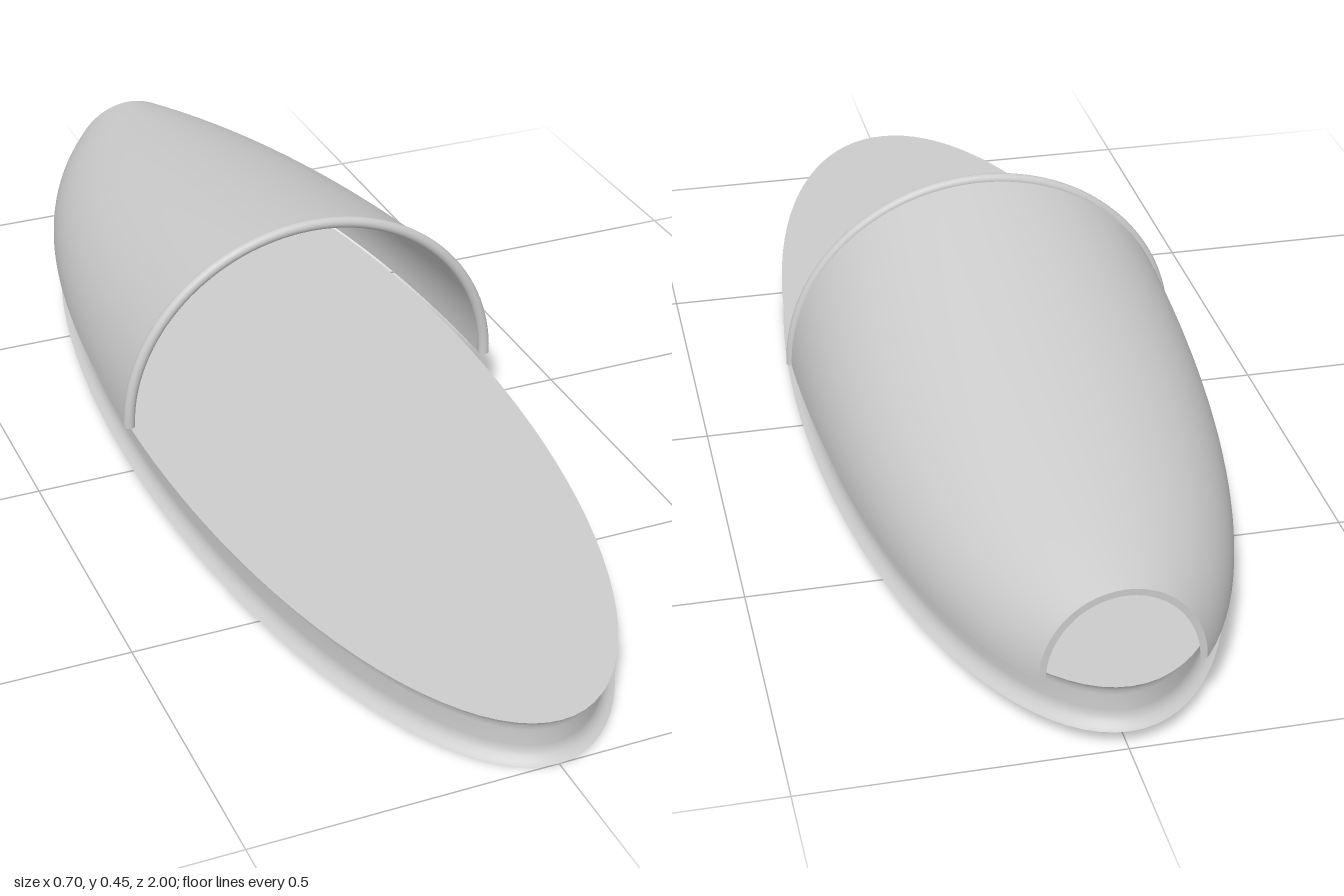
import * as THREE from 'three';
import { mergeGeometries, mergeVertices } from 'three/addons/utils/BufferGeometryUtils.js';

// Smooth surface patch from f(u, v) -> [x, y, z], u and v in 0..1
function patch(f, nu, nv) {
  const pos = [], idx = [];
  for (let j = 0; j <= nv; j++)
    for (let i = 0; i <= nu; i++) pos.push(...f(i / nu, j / nv));
  for (let j = 0; j < nv; j++)
    for (let i = 0; i < nu; i++) {
      const a = j * (nu + 1) + i, b = a + 1, c = a + nu + 1, d = c + 1;
      idx.push(a, b, c, b, d, c);
    }
  let g = new THREE.BufferGeometry();
  g.setAttribute('position', new THREE.Float32BufferAttribute(pos, 3));
  g.setIndex(idx);
  g = mergeVertices(g, 1e-5);
  g.computeVertexNormals();
  return g;
}

const lerp = THREE.MathUtils.lerp;

// Sole: long ellipse with a hollowed side wall, rising gently to the back
const SOLE_W = 0.333, SOLE_L = 1, SOLE_H = 0.041;
function soleGeometry() {
  const point = (u, scale, inset, h) => {
    const a = u * Math.PI * 2, c = Math.cos(a), s = Math.sin(a);
    const n = Math.hypot(SOLE_L * c, SOLE_W * s);
    const x = scale * SOLE_W * c - inset * SOLE_L * c / n;
    const z = scale * SOLE_L * s - inset * SOLE_W * s / n;
    return [x, 0.057 - 0.016 * z + h, z];
  };
  // Wall profile: [inset, height], top to bottom
  const half = [[0, 0.041], [0.007, 0.037], [0.013, 0.031], [0.017, 0.023], [0.018, 0.014]];
  const wall = [...half, ...half.map(([i, h]) => [i, -h]).reverse()];
  const n = wall.length - 1;
  return mergeGeometries([
    patch((u, v) => point(u, v, 0, SOLE_H), 96, 1),
    patch((u, v) => point(u, 1, ...wall[Math.round(v * n)]), 96, n),
    patch((u, v) => point(u, 1 - v, 0, -SOLE_H), 96, 1),
  ]);
}

// Upper: thin arched shell, narrowing toward the open back end
const BASE = 0.113, FRONT = 0.03, BACK = -0.957, THICK = 0.011;
function upperGeometry() {
  const point = (u, t, inset) => { // t: 0 back, 1 front
    const a = u * Math.PI, z = lerp(BACK, FRONT, t);
    const w = 0.342 * Math.sqrt(1 - ((z - FRONT) / 1.064) ** 2) - inset;
    const h = lerp(0.141, 0.326, t) - inset;
    return [w * Math.cos(a), BASE + h * Math.sin(a), z];
  };
  return mergeGeometries([
    patch((u, v) => point(u, v, 0), 64, 32),
    patch((u, v) => point(u, 1 - v, THICK), 64, 32),
    patch((u, v) => point(u, 0, THICK * (1 - v)), 64, 1),
    patch((u, v) => point(u, 1, THICK * v), 64, 1),
    patch((u, v) => point(0, v, THICK * (1 - u)), 1, 32),
    patch((u, v) => point(1, v, THICK * u), 1, 32),
  ]);
}

// Rounded lip along the front arch
const LIP_R = 0.01, LIP_X = 0.34, LIP_Y = 0.325;
function lipGeometry() {
  return patch((u, v) => {
    const a = u * Math.PI, b = v * Math.PI * 2, r = LIP_R * Math.cos(b);
    return [(LIP_X + r) * Math.cos(a), BASE + (LIP_Y + r) * Math.sin(a), FRONT + LIP_R * Math.sin(b)];
  }, 64, 16);
}

export function createModel() {
  const group = new THREE.Group();
  group.name = 'slipper';
  const grey = new THREE.MeshStandardMaterial({ color: 0xcccccc });
  grey.name = 'light grey';

  const add = (name, geometry) => {
    const mesh = new THREE.Mesh(geometry, grey);
    mesh.name = name;
    group.add(mesh);
    return mesh;
  };
  add('sole', soleGeometry());
  add('upper', upperGeometry());
  add('frontLip', lipGeometry());

  // Flat ends of the lip
  for (const side of [1, -1]) {
    const cap = add(side > 0 ? 'leftLipEnd' : 'rightLipEnd', new THREE.CircleGeometry(LIP_R, 16));
    cap.rotation.x = Math.PI / 2;
    cap.position.set(side * LIP_X, BASE, FRONT);
  }
  return group;
}
